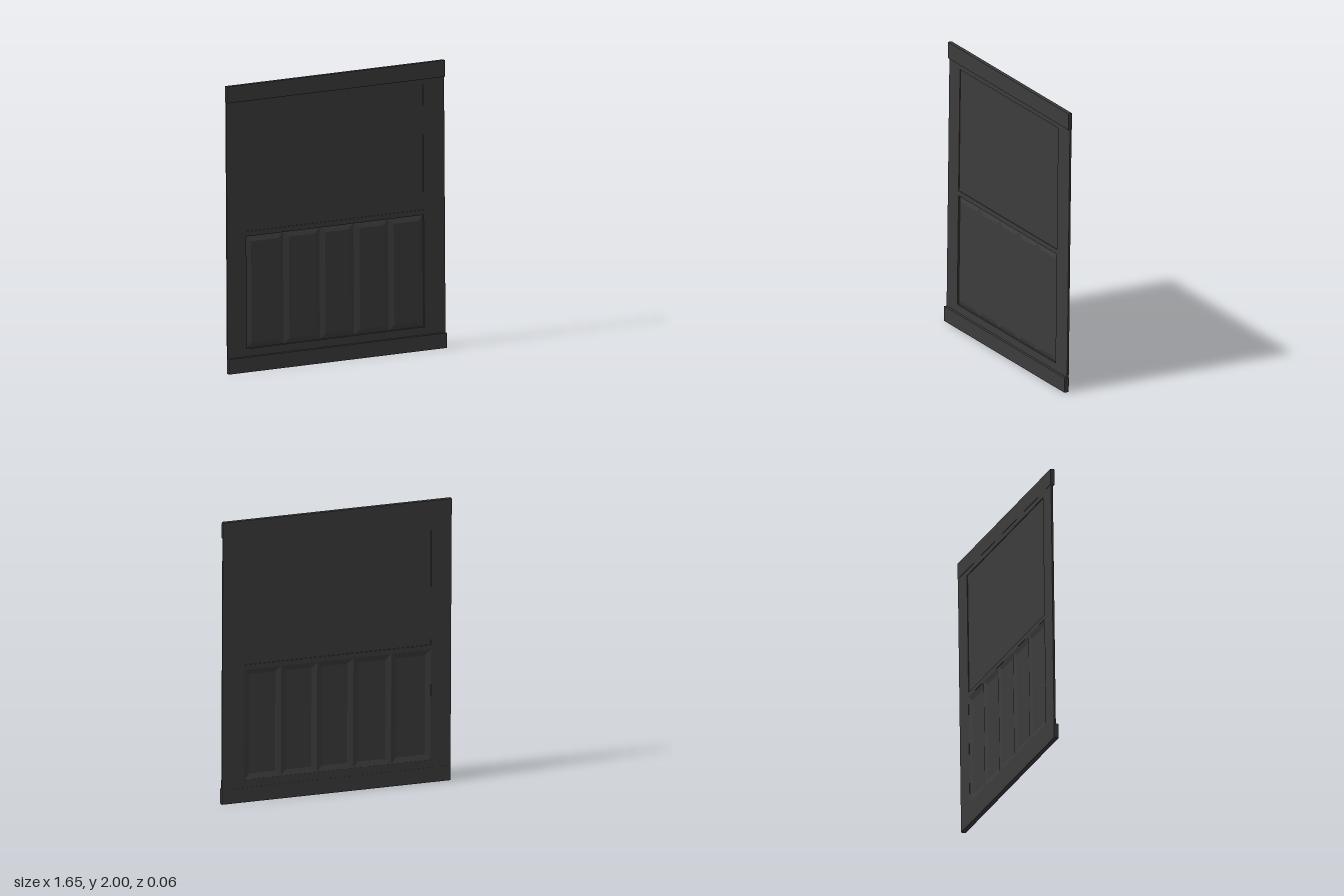
import * as THREE from 'three';

const material = new THREE.MeshStandardMaterial({ color: 0x3c3c3c, side: THREE.DoubleSide, flatShading: true });
const HALF_WIDTH = 0.825;
const FRONT = 0.01, BACK = -0.003;
const LEFT = -0.68, RIGHT = 0.665;

function addMesh(parent, name, geometry) {
  const mesh = new THREE.Mesh(geometry, material);
  mesh.name = name;
  parent.add(mesh);
}

// Box given by its limits on each axis
function slab(x0, x1, y0, y1, z0, z1) {
  return new THREE.BoxGeometry(x1 - x0, y1 - y0, z1 - z0)
    .translate((x0 + x1) / 2, (y0 + y1) / 2, (z0 + z1) / 2);
}

function rectangle(path, x0, x1, y0, y1) {
  path.moveTo(x0, y0);
  path.lineTo(x1, y0);
  path.lineTo(x1, y1);
  path.lineTo(x0, y1);
  path.closePath();
  return path;
}

// Pressed sheet: low at the rim, sloping up to a flat raised field
function pressedPanel(x0, x1, y0, y1, zRim, zField, bevel) {
  const geometry = new THREE.PlaneGeometry(1, 1, 3, 3);
  const xs = [x0, x0 + bevel, x1 - bevel, x1];
  const ys = [y1, y1 - bevel, y0 + bevel, y0];
  const position = geometry.attributes.position;
  for (let row = 0; row < 4; row++) {
    for (let col = 0; col < 4; col++) {
      const inner = row % 3 !== 0 && col % 3 !== 0;
      position.setXYZ(row * 4 + col, xs[col], ys[row], inner ? zField : zRim);
    }
  }
  // Turn the diagonals of two corner cells so all four mitres are symmetric
  const index = geometry.index.array;
  for (const [row, col] of [[0, 0], [2, 2]]) {
    const a = row * 4 + col, b = a + 4, c = b + 1, d = a + 1;
    index.set([a, b, c, a, c, d], (row * 3 + col) * 6);
  }
  geometry.computeVertexNormals();
  return geometry;
}

export function createModel() {
  const model = new THREE.Group();
  model.name = 'wallPanel';

  // The whole panel leans back slightly
  const body = new THREE.Group();
  body.name = 'leaningPanel';
  body.rotation.x = -0.0125;
  model.add(body);

  // Frame with a large upper opening and a wide lower opening
  const outline = rectangle(new THREE.Shape(), -HALF_WIDTH, HALF_WIDTH, 0, 2);
  outline.holes.push(
    rectangle(new THREE.Path(), LEFT, RIGHT, 0.975, 1.845),
    rectangle(new THREE.Path(), LEFT, RIGHT, 0.16, 0.94));
  const frame = new THREE.ExtrudeGeometry(outline, { depth: FRONT - BACK, bevelEnabled: false });
  addMesh(body, 'frame', frame.translate(0, 0, BACK));

  // Flat sheet set back in the upper opening
  addMesh(body, 'upperPanel', slab(LEFT, RIGHT, 0.975, 1.845, 0.002, 0.005));

  // Row of five pressed panels
  const edges = [LEFT, -0.395, -0.12, 0.14, 0.4, RIGHT];
  for (let i = 0; i < 5; i++) {
    addMesh(body, `lowerPanel${i + 1}`, pressedPanel(edges[i], edges[i + 1], 0.16, 0.94, -0.002, 0.009, 0.038));
  }

  // Rails across the head and foot
  addMesh(body, 'topRail', slab(-HALF_WIDTH, HALF_WIDTH, 1.885, 2, BACK - 0.002, 0.023));
  addMesh(body, 'bottomRail', slab(-HALF_WIDTH, HALF_WIDTH, 0, 0.105, BACK - 0.001, 0.029));

  return model;
}
